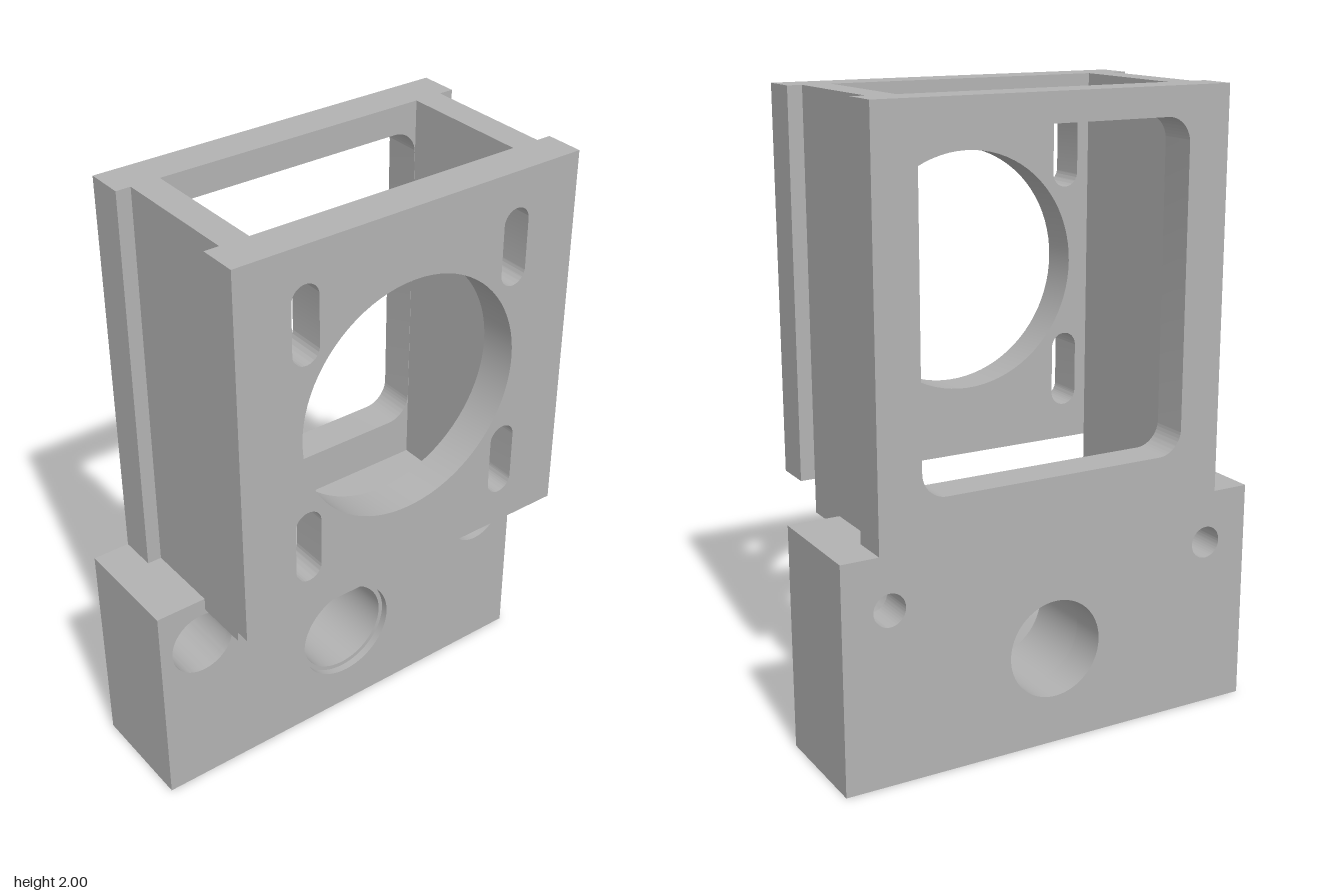
import * as THREE from 'three';
import { toCreasedNormals } from 'three/addons/utils/BufferGeometryUtils.js';

const metal = new THREE.MeshStandardMaterial({ color: 0xb2b2b2 });
metal.name = 'grey metal';

function rect(z0, z1, y0, y1) {
  return new THREE.Shape([[z0, y0], [z1, y0], [z1, y1], [z0, y1]].map(p => new THREE.Vector2(...p)));
}

function circle(z, y, r) {
  return new THREE.Path().absarc(z, y, r, 0, Math.PI * 2, true);
}

// Rectangle with rounded corners; a radius of half the width gives a slot
function rounded(z, y, w, h, r) {
  const p = new THREE.Path(), a = w / 2 - r, b = h / 2 - r, q = Math.PI / 2;
  p.absarc(z + a, y + b, r, 0, q);
  p.absarc(z - a, y + b, r, q, 2 * q);
  p.absarc(z - a, y - b, r, 2 * q, 3 * q);
  p.absarc(z + a, y - b, r, 3 * q, 4 * q);
  p.closePath();
  return p;
}

// Plate cut in the z-y plane, running from x0 to x1
function plate(name, shape, holes, x0, x1) {
  shape.holes.push(...holes);
  const g = new THREE.ExtrudeGeometry(shape, { depth: x1 - x0, bevelEnabled: false, curveSegments: 40 });
  g.rotateY(Math.PI / 2).translate(x0, 0, 0);
  const mesh = new THREE.Mesh(toCreasedNormals(g, 0.6), metal);
  mesh.name = name;
  return mesh;
}

export function createModel() {
  const group = new THREE.Group();
  group.name = 'motorBracket';

  // Base block in layers, so that the bolt holes and the bore are stepped
  const layers = [
    [-0.34, -0.215, 0.052, 0.158],
    [-0.215, 0.01, 0.11, 0.158],
    [0.01, 0.035, 0.11, 0.173],
  ];
  const base = new THREE.Group();
  base.name = 'baseBlock';
  for (const [x0, x1, bolt, bore] of layers) {
    const holes = [circle(0, 0.313, bore), circle(0.56, 0.557, bolt), circle(-0.56, 0.557, bolt)];
    base.add(plate('baseLayer', rect(-0.712, 0.712, 0, 0.725), holes, x0, x1));
  }
  group.add(base);

  // Plate with the rounded window
  group.add(plate('windowPlate', rect(-0.59, 0.59, 0.725, 2),
    [rounded(0, 1.39, 0.9, 1.04, 0.08)], -0.34, -0.217));

  // Plate with the large round opening and four slots
  const holes = [circle(0, 1.397, 0.383)];
  for (const z of [-0.366, 0.366])
    for (const y of [1.032, 1.764]) holes.push(rounded(z, y, 0.09, 0.245, 0.0449));
  group.add(plate('mountingPlate', rect(-0.59, 0.59, 0.793, 2), holes, 0.215, 0.338));

  // Side walls joining the plates, hanging a little below the block's top
  for (const s of [-1, 1]) {
    const wall = new THREE.Shape([[-0.217, 0.725], [0.035, 0.725], [0.035, 0.682], [0.215, 0.682],
      [0.215, 2], [-0.217, 2]].map(p => new THREE.Vector2(...p)));
    const g = new THREE.ExtrudeGeometry(wall, { depth: 0.092, bevelEnabled: false });
    g.translate(0, 0, s * 0.497 - 0.046);
    const mesh = new THREE.Mesh(g, metal);
    mesh.name = s > 0 ? 'frontWall' : 'backWall';
    group.add(mesh);
  }
  return group;
}
